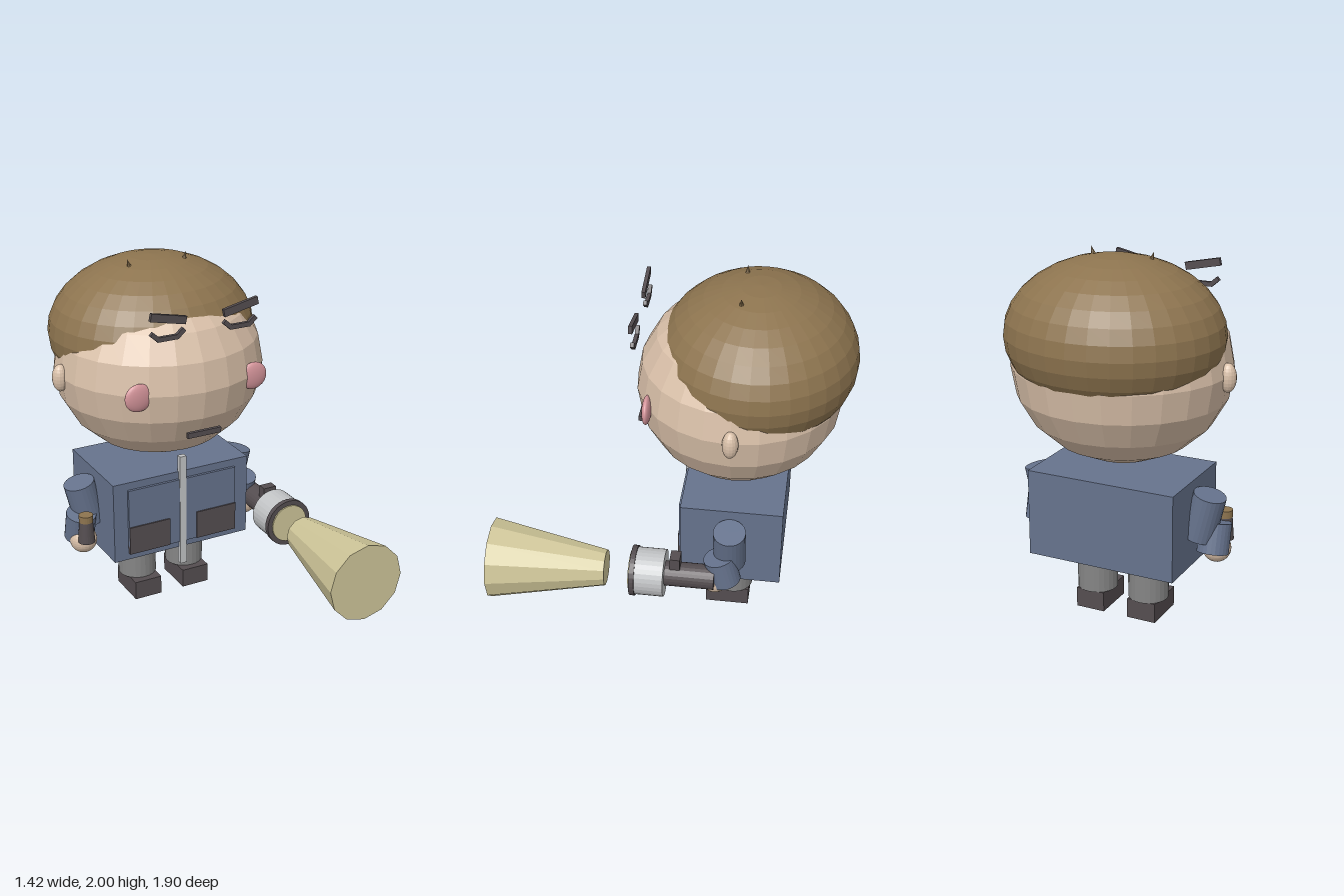
import * as THREE from 'three';

export function createModel() {
  const model = new THREE.Group();
  model.name = 'character';
  const CX = -0.078; // the figure's own mirror plane

  const mat = (name, color, flatShading = false) => {
    const m = new THREE.MeshStandardMaterial({ color, flatShading });
    m.name = name;
    return m;
  };
  const skin = mat('skin', 0xd9c0a9, true);
  const hair = mat('hair brown', 0x8d744f, true);
  const blush = mat('blush pink', 0xd4949a);
  const dark = mat('charcoal', 0x544d50, true);
  const blue = mat('jacket blue', 0x66738d, true);
  const grey = mat('trouser grey', 0x858585, true);
  const silver = mat('silver', 0xc2c4c6, true);
  const beamColour = mat('beam cream', 0xcfc699, true);

  const add = (name, geo, material, x, y, z, rx = 0, ry = 0, rz = 0) => {
    const mesh = new THREE.Mesh(geo, material);
    mesh.name = name;
    mesh.position.set(x, y, z);
    mesh.rotation.set(rx, ry, rz);
    model.add(mesh);
    return mesh;
  };
  const box = (w, h, d) => new THREE.BoxGeometry(w, h, d);
  const cyl = (top, bottom, h, n = 24) => new THREE.CylinderGeometry(top, bottom, h, n);
  const ball = (rx, ry, rz, w = 20, h = 10) => new THREE.SphereGeometry(1, w, h).scale(rx, ry, rz);

  // Head and hair: two overlapping ellipsoids make the hairline
  add('head', ball(0.587, 0.513, 0.557, 24, 10), skin, CX, 1.4, -0.335);
  add('hair', ball(0.58, 0.408, 0.53, 32, 16), hair, CX, 1.578, -0.42);
  add('mouth', box(0.2, 0.03, 0.02), dark, CX, 1.165, 0.2);

  // Jacket with panel and zip
  add('jacket', box(0.84, 0.475, 0.555), blue, CX, 0.592, -0.338);
  add('jacketPanel', box(0.67, 0.39, 0.02), blue, CX, 0.59, -0.055);
  add('zip', box(0.04, 0.67, 0.032), silver, CX, 0.59, -0.056);

  // Everything that comes in pairs
  for (const s of [-1, 1]) {
    const side = s < 0 ? 'right' : 'left';
    const X = (d) => CX + s * d;

    // Face
    add(side + 'Ear', ball(0.045, 0.077, 0.042, 16, 12), skin, X(0.588), 1.4, -0.335);
    add(side + 'Cheek', ball(0.08, 0.077, 0.025, 24, 16), blush, X(0.343), 1.4, 0.125);
    add(side + 'Brow', box(0.205, 0.042, 0.02), dark, X(0.21), 1.835, 0.207, 0, 0, s * 0.21);
    add(side + 'EyeLid', box(0.12, 0.025, 0.02), dark, X(0.21), 1.73, 0.2);
    for (const e of [-1, 1])
      add(side + 'EyeCorner', box(0.055, 0.025, 0.02), dark, X(0.21) + e * 0.073, 1.747, 0.2, 0, 0, e * 0.72);
    add(side + 'HairTuft', new THREE.ConeGeometry(0.016, 0.055, 8), hair, X(0.17), 1.974, -0.335, 0, 0, -s * 0.3);

    // Jacket pocket
    add(side + 'Pocket', box(0.25, 0.165, 0.025), dark, X(0.21), 0.478, -0.05);

    // Arm, hand
    add(side + 'UpperArm', cyl(0.088, 0.088, 0.25), blue, X(0.476), 0.635, -0.338, 0, 0, -s * 0.238);
    add(side + 'Forearm', cyl(0.085, 0.085, 0.165), blue, X(0.519), 0.51, -0.305, 0.25);
    add(side + 'Hand', ball(0.077, 0.077, 0.077, 24, 16), skin, X(0.519), 0.435, -0.268);

    // Leg, shoe
    add(side + 'Leg', cyl(0.11, 0.11, 0.245), grey, X(0.154), 0.232, -0.34);
    add(side + 'Shoe', box(0.165, 0.11, 0.245), dark, X(0.154), 0.055, -0.312);
  }

  // Small handset held in the right hand
  add('handset', cyl(0.038, 0.048, 0.13), dark, -0.61, 0.525, -0.19);
  add('handsetCap', cyl(0.04, 0.04, 0.04), hair, -0.61, 0.605, -0.19);

  // Torch held in the left hand, pointing forward
  const TX = 0.483, TY = 0.478, Q = Math.PI / 2;
  const along = (name, front, back, z0, z1, material, n = 24) =>
    add(name, cyl(front, back, z1 - z0, n), material, TX, TY, (z0 + z1) / 2, Q);
  along('torchHandle', 0.068, 0.068, -0.27, 0.01, dark);
  along('torchHead', 0.13, 0.13, 0, 0.157, silver, 32);
  along('torchRim', 0.138, 0.138, 0.155, 0.184, dark, 32);
  along('torchLens', 0.11, 0.11, 0.18, 0.192, beamColour, 32);
  add('torchSwitch', box(0.08, 0.07, 0.055), dark, TX, 0.575, -0.056);
  along('lightBeam', 0.222, 0.1, 0.325, 0.955, beamColour, 12);

  return model;
}
